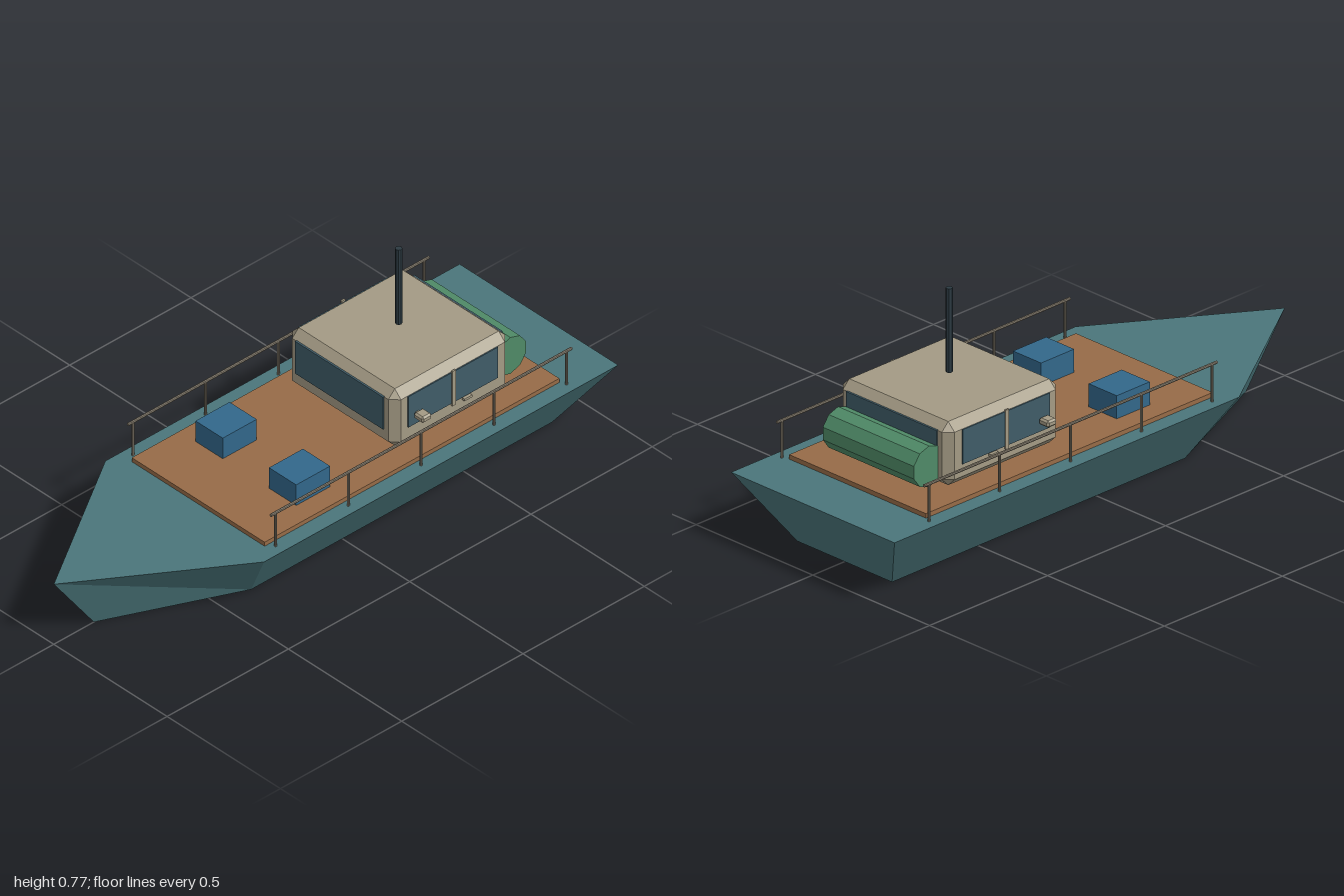
import * as THREE from 'three';
import { ConvexGeometry } from 'three/addons/geometries/ConvexGeometry.js';

const paint = (color) => new THREE.MeshStandardMaterial({ color, flatShading: true });

// Box with every edge cut off by c
function chamferBox(w, h, d, c) {
  const pts = [];
  for (const sx of [-1, 1]) for (const sy of [-1, 1]) for (const sz of [-1, 1]) {
    const x = w / 2, y = h / 2, z = d / 2;
    pts.push(new THREE.Vector3(sx * x, sy * (y - c), sz * (z - c)));
    pts.push(new THREE.Vector3(sx * (x - c), sy * y, sz * (z - c)));
    pts.push(new THREE.Vector3(sx * (x - c), sy * (y - c), sz * z));
  }
  return new ConvexGeometry(pts);
}

// Pointed hull: an extruded deck outline drawn in towards the keel
function hullGeometry() {
  const outline = new THREE.Shape([[-0.35, 1], [-0.35, -0.46], [0, -1], [0.35, -0.46], [0.35, 1]]
    .map(([x, y]) => new THREE.Vector2(x, y)));
  const geo = new THREE.ExtrudeGeometry(outline, { depth: 0.225, bevelEnabled: false });
  geo.rotateX(-Math.PI / 2);
  const p = geo.attributes.position;
  for (let i = 0; i < p.count; i++) {
    if (p.getY(i) < 0.01) p.setXYZ(i, p.getX(i) * 0.58, 0, p.getZ(i) * 0.85 - 0.015);
  }
  geo.computeVertexNormals();
  return geo;
}

export function createModel() {
  const boat = new THREE.Group();
  boat.name = 'boat';
  const teal = paint(0x4a757a), wood = paint(0x966b47), blue = paint(0x32678a);
  const cream = paint(0xa39a84), glass = paint(0x3f5c68), green = paint(0x4f8a67);
  const metal = paint(0x857c6c), dark = paint(0x2c3a42);

  const add = (name, geo, mat, x, y, z, parent = boat) => {
    const mesh = new THREE.Mesh(geo, mat);
    mesh.name = name;
    mesh.position.set(x, y, z);
    parent.add(mesh);
    return mesh;
  };
  const box = (w, h, d) => new THREE.BoxGeometry(w, h, d);

  add('hull', hullGeometry(), teal, 0, 0, 0);
  add('deck', box(0.586, 0.016, 1.215), wood, 0, 0.232, -0.203);

  // Cabin with front and rear windows
  const cabin = new THREE.Group();
  cabin.name = 'cabin';
  boat.add(cabin);
  add('cabinBody', chamferBox(0.478, 0.212, 0.482, 0.027), cream, 0, 0.356, -0.422, cabin);
  add('frontWindow', box(0.388, 0.121, 0.01), glass, 0, 0.376, -0.181, cabin);
  add('rearWindow', box(0.388, 0.121, 0.01), glass, 0, 0.376, -0.663, cabin);

  // Mast above the roof
  add('mast', new THREE.CylinderGeometry(0.011, 0.011, 0.28, 8), dark, 0, 0.626, -0.422);

  // Rolled bundle behind the cabin, lying flat side up
  const roll = new THREE.CylinderGeometry(0.068, 0.068, 0.39, 10);
  roll.rotateY(Math.PI / 10).rotateZ(Math.PI / 2);
  add('rearRoll', roll, green, 0, 0.328, -0.7);

  // Parts repeated on both sides
  for (const s of [-1, 1]) {
    const side = s > 0 ? 'left' : 'right';
    add(side + 'Crate', box(0.12, 0.077, 0.14), blue, s * 0.162, 0.2785, 0.138);
    add(side + 'Window', box(0.01, 0.115, 0.37), glass, s * 0.238, 0.377, -0.42, cabin);
    add(side + 'WindowBar', box(0.006, 0.13, 0.014), cream, s * 0.244, 0.376, -0.42, cabin);
    add(side + 'Handle', box(0.012, 0.008, 0.032), cream, s * 0.244, 0.312, -0.476, cabin);
    add(side + 'Mirror', chamferBox(0.042, 0.023, 0.04, 0.006), cream, s * 0.269, 0.36, -0.27, cabin);
    add(side + 'MirrorArm', box(0.02, 0.008, 0.012), cream, s * 0.245, 0.36, -0.27, cabin);

    // Railing: one long bar on five posts
    const railing = new THREE.Group();
    railing.name = side + 'Railing';
    boat.add(railing);
    const bar = new THREE.CylinderGeometry(0.005, 0.005, 1.24, 8);
    bar.rotateX(Math.PI / 2);
    add('railBar', bar, metal, s * 0.315, 0.35, -0.22, railing);
    for (let i = 0; i < 5; i++) {
      add('railPost', new THREE.CylinderGeometry(0.0045, 0.0045, 0.125, 8), metal,
        s * 0.315, 0.288, 0.38 - i * 0.3, railing);
    }
  }
  return boat;
}
